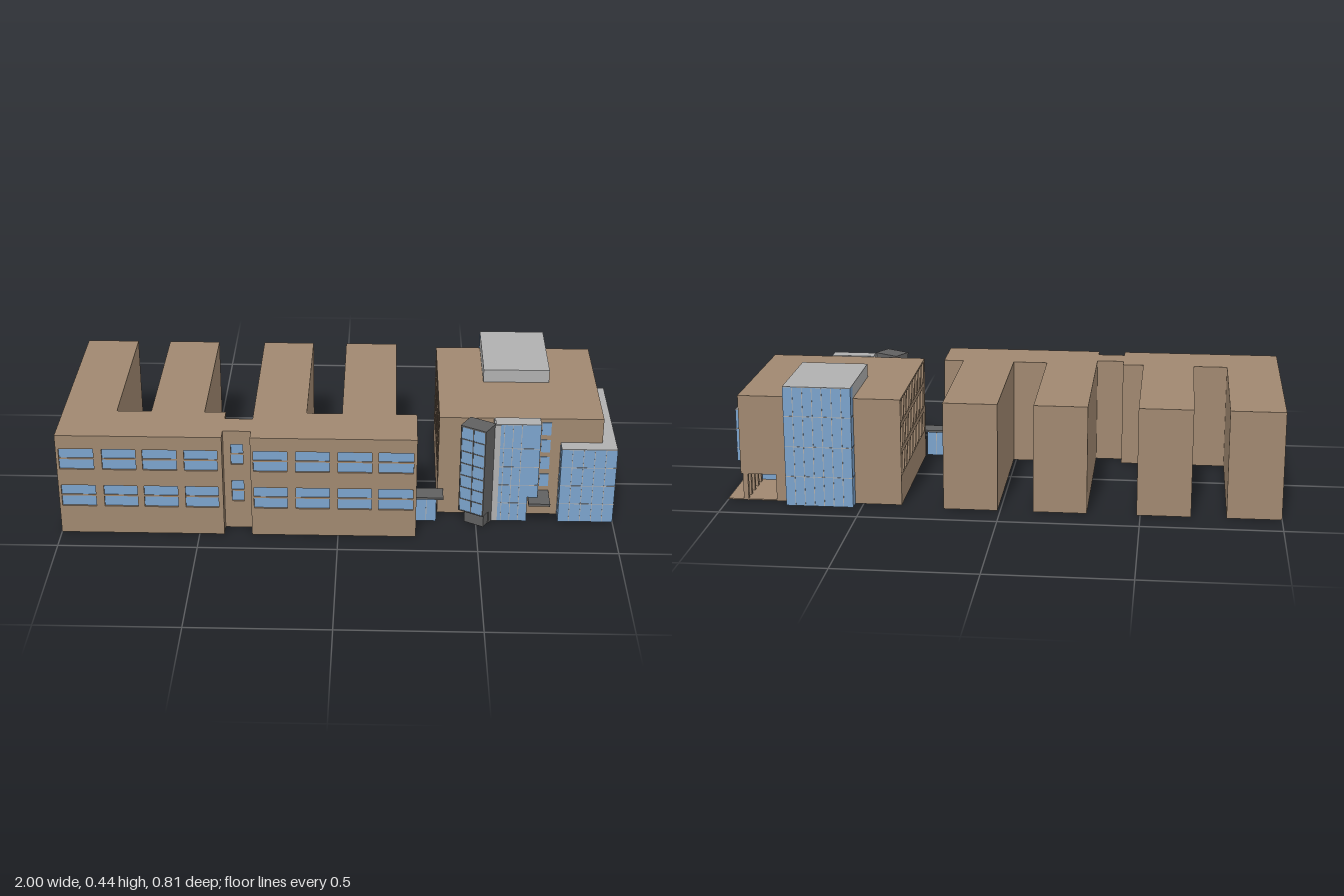
import * as THREE from 'three';

const mat = (color) => new THREE.MeshStandardMaterial({ color });
const brick = mat(0xa08870), glass = mat(0x7ba3cc), grey = mat(0xb0b0b0), dark = mat(0x606060);

// Box given by its limits
function block(parent, name, m, x0, x1, y0, y1, z0, z1) {
  const mesh = new THREE.Mesh(new THREE.BoxGeometry(x1 - x0, y1 - y0, z1 - z0), m);
  mesh.position.set((x0 + x1) / 2, (y0 + y1) / 2, (z0 + z1) / 2);
  mesh.name = name;
  parent.add(mesh);
  return mesh;
}

// Wall sheet with recessed windows; holes are [u0, u1, v0, v1]
function facade(parent, name, u0, u1, v0, v1, depth, holes, bar = false) {
  const g = new THREE.Group();
  g.name = name;
  const rect = (P, a, b, c, d) => {
    const p = new P();
    p.moveTo(a, c); p.lineTo(b, c); p.lineTo(b, d); p.lineTo(a, d); p.closePath();
    return p;
  };
  const shape = rect(THREE.Shape, u0, u1, v0, v1);
  for (const [a, b, c, d] of holes) {
    shape.holes.push(rect(THREE.Path, a, b, c, d));
    block(g, 'windowPane', glass, a, b, c, d, 0, depth * 0.3);
    if (bar) block(g, 'windowBar', brick, a, b, (c + d) / 2 - 0.003, (c + d) / 2 + 0.003, 0, depth * 0.6);
  }
  const wall = new THREE.Mesh(new THREE.ExtrudeGeometry(shape, { depth, bevelEnabled: false }), brick);
  wall.name = 'wallSheet';
  g.add(wall);
  parent.add(g);
  return g;
}

// Glazed volume; thin slabs stand slightly proud as mullions
function glazed(parent, name, [x0, x1, y0, y1, z0, z1], nx, nz, rails, cap = true) {
  const g = new THREE.Group(), e = 0.001, t = 0.0012;
  g.name = name;
  block(g, 'glazing', glass, x0, x1, y0, y1, z0, z1);
  for (let i = 1; i < nx; i++) {
    const x = x0 + (x1 - x0) * i / nx;
    block(g, 'mullion', grey, x - t, x + t, y0 + e, y1 - e, z0 - e, z1 + e);
  }
  for (let i = 1; i < nz; i++) {
    const z = z0 + (z1 - z0) * i / nz;
    block(g, 'mullion', grey, x0 - e, x1 + e, y0 + e, y1 - e, z - t, z + t);
  }
  for (const y of rails) block(g, 'rail', grey, x0 - e, x1 + e, y - t, y + t, z0 - e, z1 + e);
  if (cap) block(g, 'glassRoof', grey, x0, x1, y1, y1 + 0.003, z0, z1);
  parent.add(g);
}

export function createModel() {
  const model = new THREE.Group();
  const H = 0.395, D = 0.01;
  const rows = [[0.11, 0.195], [0.26, 0.342]];
  const grid = (spans, levels) => levels.flatMap(([c, d]) => spans.map(([a, b]) => [a, b, c, d]));

  // Long wing: two spine halves, narrow link, four rear fingers
  const wing = new THREE.Group();
  wing.name = 'longWing';
  model.add(wing);
  for (const [a, b, spans] of [
    [-1, -0.41, [[-0.99, -0.867], [-0.837, -0.717], [-0.693, -0.572], [-0.545, -0.427]]],
    [-0.31, 0.28, [[-0.3, -0.18], [-0.15, -0.03], [0, 0.12], [0.145, 0.268]]],
  ]) {
    block(wing, 'spine', brick, a, b, 0, H, 0.21, 0.405 - D);
    facade(wing, 'frontWall', a, b, 0, H, D, grid(spans, rows), true).position.z = 0.405 - D;
  }
  block(wing, 'link', brick, -0.41, -0.31, 0, H, 0.26, 0.355 - D);
  facade(wing, 'linkWall', -0.41, -0.31, 0, H, D, grid([[-0.383, -0.34]], rows), true).position.z = 0.355 - D;
  for (const [a, b] of [[-1, -0.805], [-0.68, -0.487], [-0.31, -0.118], [0.01, 0.205 - D]])
    block(wing, 'finger', brick, a, b, 0, H, -0.385, 0.21);
  const side = [0, 1, 2, 3].map((i) => [-0.135 + i * 0.145, -0.065 + i * 0.145]);
  const fingerWall = facade(wing, 'fingerSideWall', -0.21, 0.385, 0, H, D, grid(side, [[0.12, 0.185], [0.27, 0.335]]));
  fingerWall.rotation.y = Math.PI / 2;
  fingerWall.position.x = 0.205 - D;

  // Main block with an undercut rear corner
  const main = new THREE.Group();
  main.name = 'mainBlock';
  model.add(main);
  const W = 0.014;
  block(main, 'groundSlab', brick, 0.36, 1, 0, 0.004, -0.36, 0.23);
  block(main, 'upperFloors', brick, 0.36 + W, 0.95 - W, 0.1, H, -0.36, 0.23);
  block(main, 'groundFloor', brick, 0.36 + W, 0.82, 0.004, 0.1, -0.36, 0.23);
  const bays = Array.from({ length: 16 }, (_, i) => [-0.233 + i * 0.037, -0.201 + i * 0.037]);
  const levels = [[0.308, 0.387], [0.21, 0.29], [0.11, 0.19]];
  const east = facade(main, 'eastWall', -0.23, 0.36, 0.1, H, W,
    [...grid(bays.slice(1), [levels[0]]), ...grid(bays.slice(12), levels.slice(1))]);
  east.rotation.y = Math.PI / 2;
  east.position.x = 0.95 - W;
  const west = facade(main, 'westWall', -0.36, 0.23, 0.004, H, W,
    grid(bays.slice(1).map(([a, b]) => [-b, -a]), levels));
  west.rotation.y = -Math.PI / 2;
  west.position.x = 0.36 + W;
  for (const y of [0.12, 0.19, 0.26, 0.33]) block(main, 'frontWindow', glass, 0.73, 0.763, y, y + 0.05, 0.228, 0.233);

  // Recessed ground floor and its columns
  block(main, 'recessedLobby', glass, 0.82, 0.94, 0.004, 0.1, -0.135, -0.06);
  for (const z of [-0.235, -0.284, -0.33]) block(main, 'lowWindow', glass, 0.815, 0.823, 0.055, 0.098, z - 0.013, z + 0.013);
  for (const z of [-0.158, -0.205, -0.255, -0.305, -0.35])
    block(main, 'column', brick, 0.925, 0.943, 0.004, 0.1, z - 0.008, z + 0.008);

  // Glazed corner hall, overhanging at the rear
  const rails = [0.075, 0.15, 0.225];
  glazed(model, 'cornerHallFront', [0.8, 1, 0, 0.297, 0.228, 0.283], 5, 2, rails);
  glazed(model, 'cornerHallSide', [0.948, 1, 0.1, 0.297, -0.212, 0.228], 1, 12, rails.slice(1));
  glazed(model, 'cornerHallBase', [0.82, 1, 0, 0.1, -0.06, 0.228], 5, 8, rails.slice(0, 1), false);

  // Rear glass tower and rooftop plant room
  glazed(model, 'rearTower', [0.53, 0.775, 0, 0.442, -0.404, -0.36], 7, 1, [0.11, 0.222, 0.335]);
  block(model, 'plantRoom', grey, 0.53, 0.775, H, 0.445, -0.36, -0.062);

  // Entrance bay, notched above the canopy
  glazed(model, 'entranceBay', [0.56, 0.685, 0, H, 0.23, 0.283], 4, 2, [0.075, 0.15, 0.225, 0.3]);
  glazed(model, 'entranceBayNotch', [0.685, 0.722, 0.1, H, 0.23, 0.283], 1, 2, [0.15, 0.225, 0.3]);
  block(model, 'entranceJamb', grey, 0.556, 0.578, 0, H, 0.23, 0.285);
  block(model, 'entranceCanopy', dark, 0.687, 0.765, 0.09, 0.1, 0.23, 0.332);

  // Side vestibule with canopy
  glazed(model, 'vestibule', [0.282, 0.355, 0, 0.095, 0.24, 0.292], 2, 2, [], false);
  block(model, 'vestibuleCanopy', dark, 0.28, 0.38, 0.095, 0.103, 0.232, 0.302);

  // Turned stair tower: glass shaft, dark frame, back panel and base
  const stair = new THREE.Group();
  stair.name = 'stairTower';
  stair.position.set(0.497, 0, 0.289);
  stair.rotation.y = -Math.PI / 6;
  model.add(stair);
  block(stair, 'shaft', glass, -0.048, 0.048, 0.05, 0.394, -0.034, 0.035);
  block(stair, 'base', dark, -0.032, 0.046, 0, 0.05, -0.034, 0.022);
  block(stair, 'backPanel', dark, -0.05, 0.05, 0, 0.394, -0.037, -0.012);
  block(stair, 'stairRoof', dark, -0.051, 0.051, 0.394, 0.4, -0.038, 0.038);
  for (let i = 0; i < 7; i++) {
    const y = 0.05 + i * 0.049;
    block(stair, 'stairRail', dark, -0.0495, 0.0495, y, y + 0.004, -0.034, 0.0365);
  }
  for (const x of [-0.048, 0, 0.048]) block(stair, 'stairMullion', dark, x - 0.002, x + 0.002, 0.05, 0.394, -0.034, 0.037);
  return model;
}
